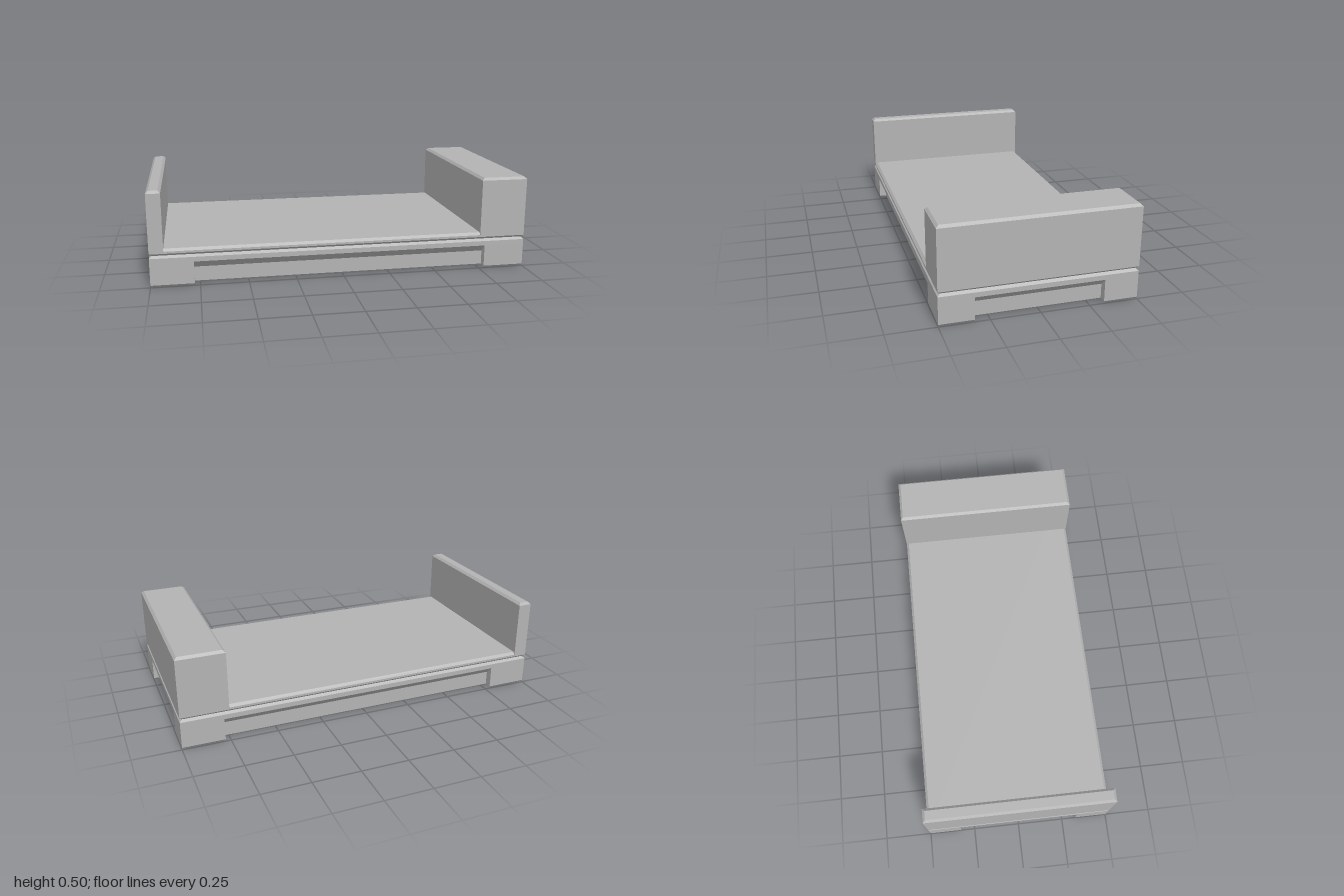
import * as THREE from 'three';

const grey = new THREE.MeshStandardMaterial({ color: 0xb3b3b3 });
grey.name = 'plain grey';

// Joins level rings ({ y, pts }) into a solid with flat faces; points run anticlockwise seen from above.
function loft(name, rings) {
  const pos = [];
  const put = (ring, i) => {
    const p = ring.pts[i % ring.pts.length];
    pos.push(p.x, ring.y, -p.y);
  };
  for (let r = 0; r < rings.length - 1; r++) {
    const lo = rings[r], hi = rings[r + 1];
    for (let i = 0; i < lo.pts.length; i++) {
      put(lo, i); put(lo, i + 1); put(hi, i + 1);
      put(lo, i); put(hi, i + 1); put(hi, i);
    }
  }
  const bottom = rings[0], top = rings[rings.length - 1];
  for (const [a, b, c] of THREE.ShapeUtils.triangulateShape(bottom.pts.slice(), [])) {
    put(bottom, a); put(bottom, c); put(bottom, b);
  }
  for (const [a, b, c] of THREE.ShapeUtils.triangulateShape(top.pts.slice(), [])) {
    put(top, a); put(top, b); put(top, c);
  }
  const geo = new THREE.BufferGeometry();
  geo.setAttribute('position', new THREE.Float32BufferAttribute(pos, 3));
  geo.computeVertexNormals();
  const mesh = new THREE.Mesh(geo, grey);
  mesh.name = name;
  return mesh;
}

// Rectangle between x0 and x1, one unit deep, pulled in on every side by inset.
function rect(y, x0, x1, inset = 0) {
  const l = x0 + inset, r = x1 - inset, d = 0.5 - inset;
  const pts = [[r, -d], [r, d], [l, d], [l, -d]].map(p => new THREE.Vector2(...p));
  return { y, pts };
}

// Base outline with one notch in the middle of each side, leaving four corner feet.
function notched(y, depth, inset = 0) {
  const W = 1 - inset, D = 0.5 - inset, a = 0.778 + inset, b = 0.325 + inset;
  const half = [
    [W, -D], [W, -b], [W - depth, -b], [W - depth, b], [W, b],
    [W, D], [a, D], [a, D - depth], [-a, D - depth], [-a, D],
  ];
  const pts = [...half, ...half.map(([x, z]) => [-x, -z])].map(p => new THREE.Vector2(...p));
  return { y, pts };
}

export function createModel() {
  const model = new THREE.Group();
  model.name = 'tray';
  const c = 0.013, depth = 0.04;

  // base: footed lower part with sloping notch tops, then a chamfered rim
  model.add(loft('footedBase', [
    notched(0, depth, 0.011), notched(0.011, depth), notched(0.087, depth), notched(0.127, 0.0001),
  ]));
  model.add(loft('baseRim', [rect(0.127, -1, 1), rect(0.152, -1, 1), rect(0.164, -1, 1, c)]));

  // tray floor, separated from the base by a V groove
  model.add(loft('trayFloor', [
    rect(0.164, -1, 1, c), rect(0.176, -1, 1), rect(0.187, -1, 1), rect(0.2, -1, 1, c),
  ]));

  // thin end wall and thick end block, chamfered along the top
  for (const [name, x0, x1] of [['endWall', -1, -0.927], ['endBlock', 0.75, 1]]) {
    model.add(loft(name, [rect(0.187, x0, x1), rect(0.487, x0, x1), rect(0.5, x0, x1, c)]));
  }
  return model;
}
